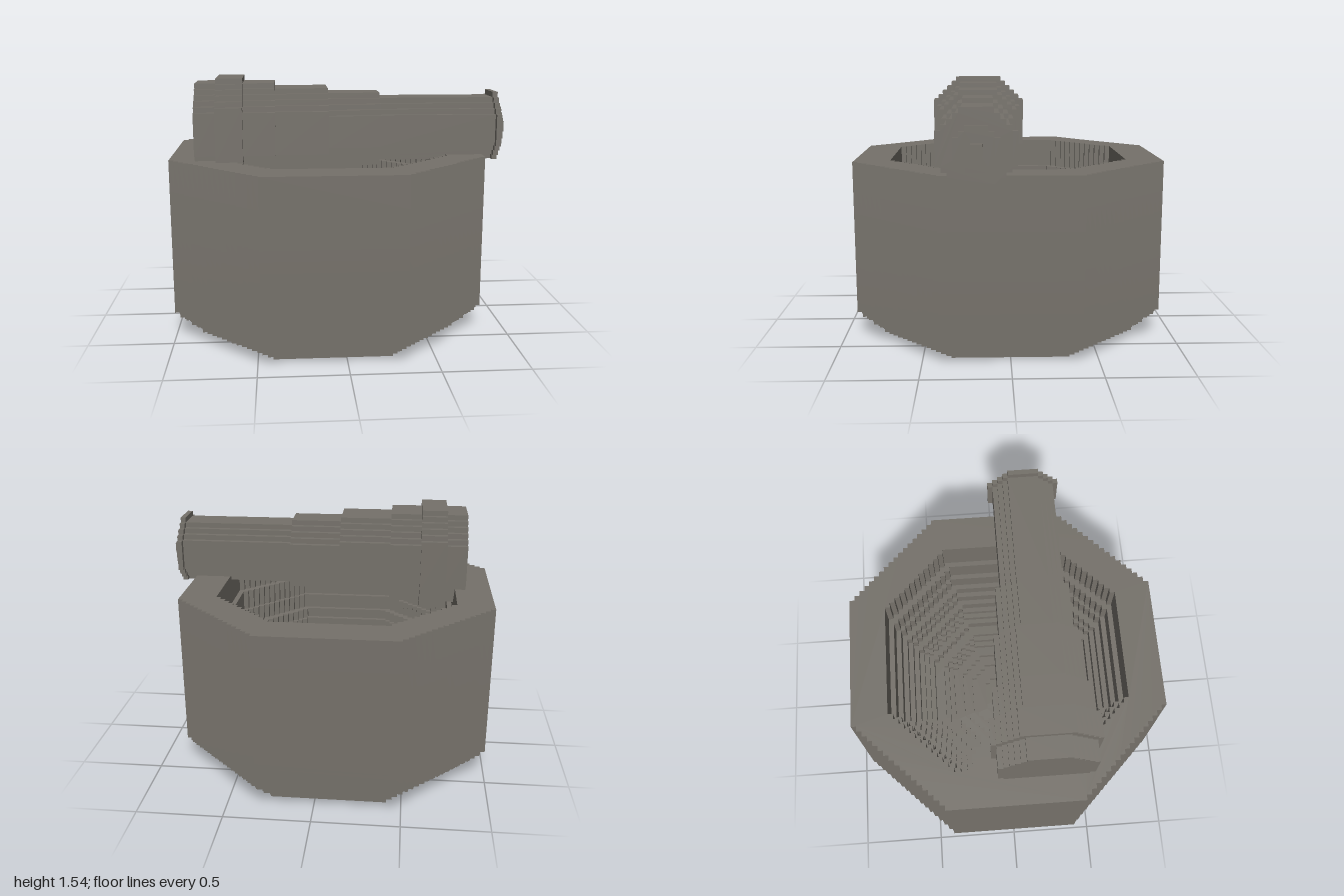
import * as THREE from 'three';

const V = 2 / 65; // edge length of one block

const stone = new THREE.MeshStandardMaterial({ color: 0x75716a });
stone.name = 'grey stone';

// Octagon with stair-stepped diagonals: r = half width, f = half length of a straight side (in blocks)
function steppedOctagon(r, f = Math.ceil(r * 0.4142), minY = -Infinity) {
  const quarter = [];
  for (let i = 0; i < r - f; i++) quarter.push([r - i, f + i], [r - i - 1, f + i]);
  quarter.push([f, r]);
  const points = [];
  for (let q = 0; q < 4; q++) {
    for (const [a, b] of quarter) {
      const [x, y] = [[a, b], [-b, a], [-a, -b], [b, -a]][q];
      points.push(new THREE.Vector2(x * V, Math.max(y, minY) * V));
    }
  }
  return points;
}

function slab(outline, hole, thickness) {
  const shape = new THREE.Shape(outline);
  if (hole) shape.holes.push(new THREE.Path(hole));
  return new THREE.ExtrudeGeometry(shape, { depth: thickness * V, bevelEnabled: false });
}

function addPart(group, name, geometry) {
  const mesh = new THREE.Mesh(geometry, stone);
  mesh.name = name;
  group.add(mesh);
  return mesh;
}

// Bowl: stacked octagonal slabs, chamfered foot outside, rounded hollow inside
function createMortar() {
  const mortar = new THREE.Group();
  mortar.name = 'mortar';
  const height = 35, floor = 6, mouth = 23;
  const outer = (y) => Math.min(30, 25 + y);
  const inner = (y) => {
    if (y < floor) return 0;
    const t = (height - y - 0.5) / (height - floor);
    return Math.round(mouth * Math.sqrt(1 - t * t));
  };
  for (let y = 0; y < height;) {
    let end = y + 1;
    while (end < height && outer(end) === outer(y) && inner(end) === inner(y)) end++;
    const r = inner(y);
    const hole = r ? steppedOctagon(r, Math.round(r * 0.4142 + 1)) : null;
    const geometry = slab(steppedOctagon(outer(y)), hole, end - y);
    geometry.rotateX(-Math.PI / 2).translate(0, y * V, 0);
    addPart(mortar, y < 5 ? 'foot' : r ? 'bowlWall' : 'bowlFloor', geometry);
    y = end;
  }
  mortar.position.x = -1 + 30 * V;
  return mortar;
}

// Pestle: octagonal sections along x, thick head at -x and a capped handle at +x
function createPestle() {
  const pestle = new THREE.Group();
  pestle.name = 'pestle';
  const sections = [ // name, start, end, radius
    ['headEnd', 5, 9, 9], ['headBand', 9, 14, 10], ['headNeck', 14, 20, 9],
    ['upperShaft', 20, 30, 8], ['middleShaft', 30, 40, 7], ['handle', 40, 62, 6],
    ['handleCap', 62, 63, 7], ['handleBoss', 63, 64, 4], ['handleTip', 64, 65, 1],
  ];
  for (const [name, start, end, r] of sections) {
    const minY = name === 'handleCap' ? -6 : -Infinity;
    const geometry = slab(steppedOctagon(r, undefined, minY), null, end - start);
    geometry.rotateY(Math.PI / 2).translate(start * V, 0, 0);
    addPart(pestle, name, geometry);
  }
  pestle.position.set(-1, 40 * V, 6 * V);
  return pestle;
}

export function createModel() {
  const model = new THREE.Group();
  model.name = 'mortarAndPestle';
  model.add(createMortar(), createPestle());
  return model;
}
